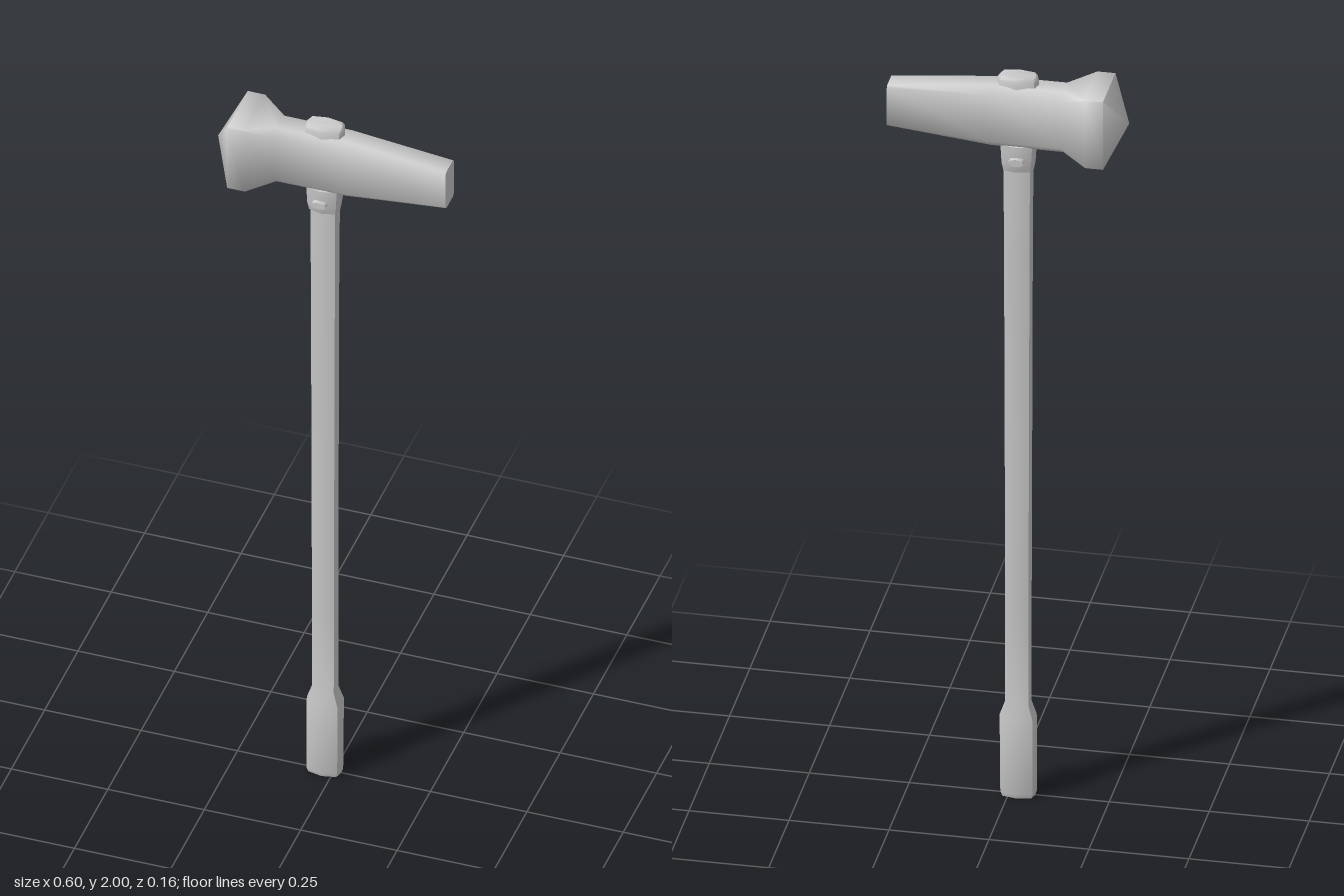
import * as THREE from 'three';
import { toCreasedNormals } from 'three/addons/utils/BufferGeometryUtils.js';

const AXIS_X = -0.023; // handle centre line
const HEAD_Y = 1.893;  // head centre line

// Skin a list of rings (equal point counts, counter-clockwise seen from the end) and cap both ends
function loft(rings, crease) {
  const n = rings[0].length;
  const pos = [];
  const index = [];
  rings.forEach((ring) => ring.forEach((p) => pos.push(...p)));
  for (let r = 0; r < rings.length - 1; r++) {
    for (let i = 0; i < n; i++) {
      const a = r * n + i;
      const b = r * n + (i + 1) % n;
      index.push(a, b, b + n, a, b + n, a + n);
    }
  }
  const last = (rings.length - 1) * n;
  for (let i = 1; i < n - 1; i++) {
    index.push(0, i + 1, i);
    index.push(last, last + i, last + i + 1);
  }
  const geometry = new THREE.BufferGeometry();
  geometry.setAttribute('position', new THREE.Float32BufferAttribute(pos, 3));
  geometry.setIndex(index);
  return toCreasedNormals(geometry, crease);
}

// Rectangle with chamfered corners, half sizes a and b
function chamfered(a, b, c) {
  return [
    [a, -b + c], [a, b - c], [a - c, b], [-a + c, b],
    [-a, b - c], [-a, -b + c], [-a + c, -b], [a - c, -b],
  ];
}

// Eight-sided oval with its wide axis along x
function oval(hx, hz) {
  const k = [[1, 0], [0.86, 0.72], [0, 1], [-0.86, 0.72], [-1, 0], [-0.86, -0.72], [0, -1], [0.86, -0.72]];
  return k.map(([u, v]) => [u * hx, v * hz]);
}

// Upright part from [y, halfX, halfZ] sections
function upright(sections, crease = 0.95) {
  return loft(sections.map(([y, hx, hz]) => oval(hx, hz).map(([u, v]) => [AXIS_X + u, y, -v])), crease);
}

export function createModel() {
  const group = new THREE.Group();
  const material = new THREE.MeshStandardMaterial({ color: 0xcccccc });
  const add = (name, geometry) => {
    const mesh = new THREE.Mesh(geometry, material);
    mesh.name = name;
    group.add(mesh);
    return mesh;
  };

  // Head: pyramid point, square block, neck, then a long taper: [x, halfY, halfZ, chamfer]
  const headSections = [
    [-0.30, 0.0005, 0.0005, 0.0001],
    [-0.25, 0.094, 0.078, 0.001],
    [-0.205, 0.094, 0.078, 0.001],
    [-0.14, 0.083, 0.044, 0.018],
    [0.04, 0.083, 0.043, 0.018],
    [0.30, 0.056, 0.031, 0.006],
  ];
  add('head', loft(headSections.map(([x, hy, hz, c]) =>
    chamfered(hy, hz, c).map(([u, v]) => [x, HEAD_Y + u, v])), 1.2));

  // Shaft with a swollen grip at the foot
  add('handle', upright([
    [0, 0.042, 0.029],
    [0.012, 0.046, 0.033],
    [0.215, 0.047, 0.033],
    [0.255, 0.033, 0.024],
    [0.5, 0.033, 0.023],
    [1.5, 0.036, 0.023],
    [1.82, 0.038, 0.025],
  ]));

  // Collar under the head
  add('collar', upright([
    [1.742, 0.039, 0.030],
    [1.765, 0.043, 0.037],
    [1.815, 0.046, 0.038],
  ]));

  // End of the shaft showing above the head
  add('handleCap', upright([
    [1.96, 0.051, 0.030],
    [1.992, 0.051, 0.030],
    [2.0, 0.045, 0.025],
  ]));

  // Small pins on both faces of the collar
  for (const side of [-1, 1]) {
    const pin = add('collarPin', new THREE.CylinderGeometry(0.010, 0.011, 0.014, 8));
    pin.rotation.x = side * Math.PI / 2;
    pin.scale.x = 1.9;
    pin.position.set(AXIS_X - 0.002, 1.776, side * 0.039);
  }

  return group;
}
